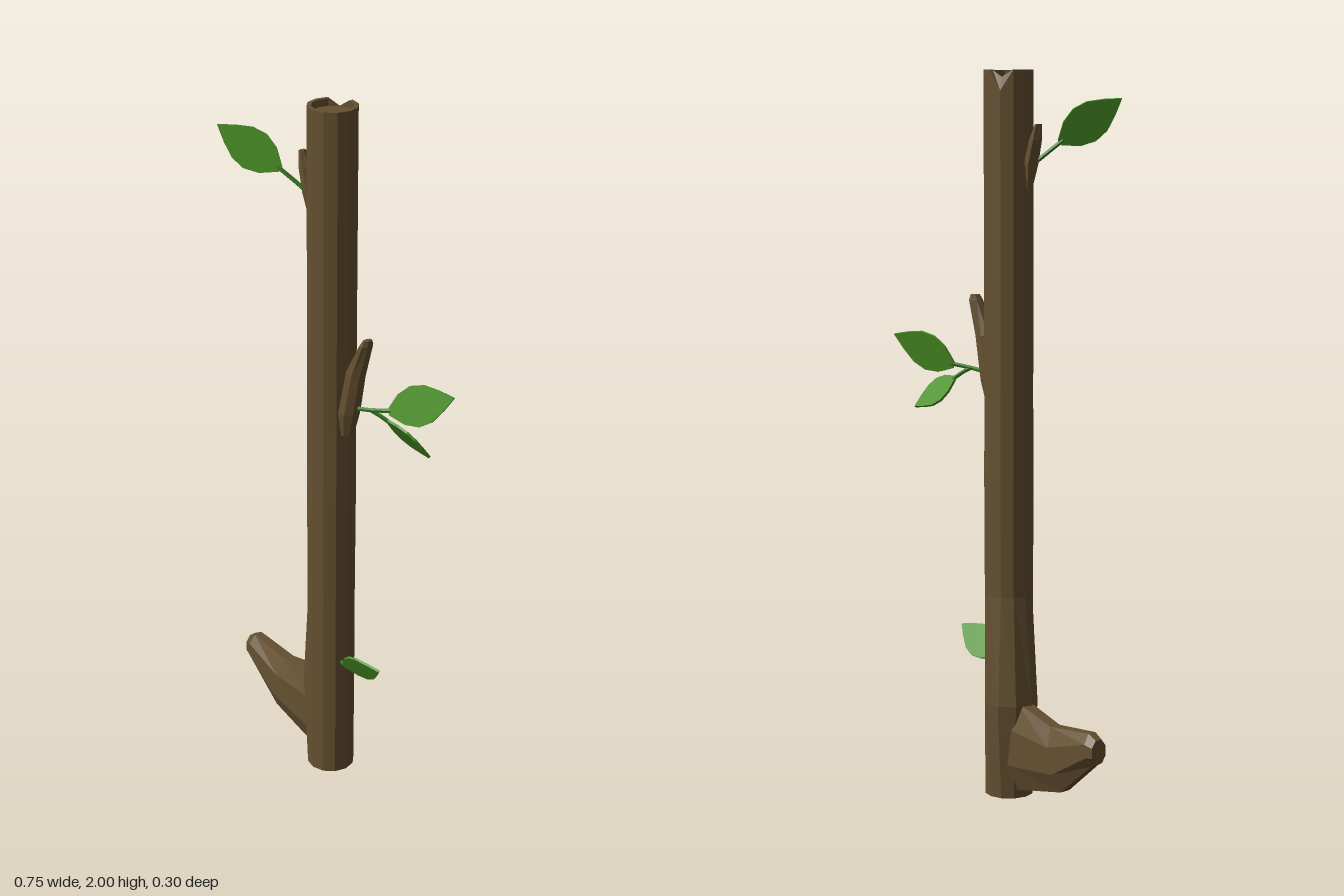
import * as THREE from 'three';

const V = (x, y, z) => new THREE.Vector3(x, y, z);

export function createModel() {
  const group = new THREE.Group();
  const mat = (name, color) => {
    const m = new THREE.MeshStandardMaterial({ color });
    m.name = name;
    return m;
  };
  const bark = mat('bark brown', 0x655031);
  const green = mat('leaf green', 0x4b9325);
  const stemGreen = mat('stem green', 0x3b7a22);

  // Adds a faceted mesh
  const add = (name, geometry, material) => {
    const g = geometry.index ? geometry.toNonIndexed() : geometry;
    g.computeVertexNormals();
    const mesh = new THREE.Mesh(g, material);
    mesh.name = name;
    group.add(mesh);
    return mesh;
  };

  // Capped loft through elliptical sections [centre, half axis a, half axis b]; a x b points along the loft
  const loft = (sections, sides = 8) => {
    const pos = [], idx = [];
    for (const [c, a, b] of sections) {
      for (let j = 0; j < sides; j++) {
        const t = ((j + 0.5) / sides) * Math.PI * 2, k = 1 / Math.cos(Math.PI / sides);
        const p = c.clone().addScaledVector(a, Math.cos(t) * k).addScaledVector(b, Math.sin(t) * k);
        pos.push(p.x, p.y, p.z);
      }
    }
    const last = (sections.length - 1) * sides;
    for (const s of [sections[0], sections[sections.length - 1]]) pos.push(...s[0].toArray());
    const c0 = last + sides, c1 = c0 + 1;
    for (let j = 0; j < sides; j++) {
      const n = (j + 1) % sides;
      for (let i = 0; i < last; i += sides) {
        idx.push(i + j, i + n, i + sides + n, i + j, i + sides + n, i + sides + j);
      }
      idx.push(c0, n, j, c1, last + j, last + n);
    }
    const g = new THREE.BufferGeometry();
    g.setAttribute('position', new THREE.Float32BufferAttribute(pos, 3));
    g.setIndex(idx);
    return g;
  };

  // Trunk: twelve-sided pole with recessed ends, a low bulge at the back and a notched rim
  const R = 0.068, inner = 0.056;
  const profile = [[0, 0.025], [inner, 0.025], [inner, 0], [R, 0], [R, 0.27], [R, 0.57], [R + 0.001, 0.9],
    [R, 1.1], [R, 2], [inner, 2], [inner, 1.98], [0, 1.98]].map(([x, y]) => new THREE.Vector2(x, y));
  const trunk = new THREE.LatheGeometry(profile, 12);
  const p = trunk.attributes.position;
  for (let i = 0; i < p.count; i++) {
    const x = p.getX(i), y = p.getY(i), z = p.getZ(i), r = Math.hypot(x, z) || 1;
    if (Math.abs(y - 0.27) < 0.01) {
      const push = 1 + (0.032 / R) * Math.max(0, (-0.85 * x - 0.5 * z) / r);
      p.setX(i, x * push);
      p.setZ(i, z * push);
    }
    const notch = Math.abs(x / r + 0.5) < 0.01 && z < 0;
    if (notch && y > 1.99) p.setY(i, r > 0.06 ? 1.945 : 1.981);
  }
  add('trunk', trunk, bark).position.set(0.0125, 0, -0.036);

  // Thick broken limb near the ground
  const limb = (x, lean, bottom, top, z, w) =>
    [V(x, (bottom + top) / 2, z), V(lean, (top - bottom) / 2, 0), V(0, 0, -w)];
  add('lowerLimb', loft([
    limb(0, 0, 0.005, 0.295, -0.043, 0.046),
    limb(-0.05, 0, 0.025, 0.276, -0.043, 0.046),
    limb(-0.22, 0.02, 0.065, 0.24, -0.055, 0.04),
    limb(-0.355, 0.005, 0.165, 0.254, -0.058, 0.031),
    limb(-0.377, 0.001, 0.175, 0.24, -0.058, 0.025),
  ]), bark);

  // Short broken twigs
  const ring = (x, y, z, rx, rz) => [V(x, y, z), V(0, 0, rz), V(rx, 0, 0)];
  add('rightTwig', loft([
    ring(0.076, 1.09, -0.036, 0.018, 0.02),
    ring(0.085, 1.16, -0.036, 0.028, 0.03),
    ring(0.109, 1.28, -0.037, 0.027, 0.027),
    ring(0.146, 1.375, -0.04, 0.014, 0.02),
    ring(0.15, 1.39, -0.04, 0.008, 0.014),
  ]), bark);
  add('leftTwig', loft([
    ring(-0.05, 1.68, -0.02, 0.008, 0.008),
    ring(-0.06, 1.75, -0.02, 0.016, 0.018),
    ring(-0.078, 1.815, -0.02, 0.014, 0.016),
    ring(-0.09, 1.857, -0.02, 0.006, 0.01),
  ], 6), bark);

  // Leaf blade from base to tip, facing the given normal
  const outline = [[0, -0.15], [0.2, -0.75], [0.4, -1], [0.6, -0.9], [0.8, -0.5], [1, 0],
    [0.8, 0.5], [0.6, 0.9], [0.4, 1], [0.2, 0.75], [0, 0.15]];
  const leaf = (name, base, tip, normal, halfWidth) => {
    const axis = tip.clone().sub(base), length = axis.length();
    axis.normalize();
    const across = normal.clone().cross(axis).normalize();
    const face = axis.clone().cross(across);
    const shape = new THREE.Shape(outline.map(([u, v]) => new THREE.Vector2(u * length, v * halfWidth)));
    const g = new THREE.ExtrudeGeometry(shape, { depth: 0.007, bevelEnabled: false });
    g.translate(0, 0, -0.0035);
    g.applyMatrix4(new THREE.Matrix4().makeBasis(axis, across, face).setPosition(base));
    add(name, g, green);
  };
  leaf('upperLeftLeaf', V(-0.118, 1.808, 0.03), V(-0.237, 1.925, 0.145), V(0.79, 0.225, 0.57), 0.054);
  leaf('largeRightLeaf', V(0.203, 1.19, -0.073), V(0.375, 1.27, -0.147), V(0.3, 0.25, 0.9), 0.056);
  leaf('smallRightLeaf', V(0.19, 1.157, -0.08), V(0.297, 1.07, -0.137), V(0.07, 0.55, -0.83), 0.046);
  leaf('lowerRightLeaf', V(0.1, 0.373, -0.012), V(0.257, 0.432, -0.002), V(-0.14, 0.49, -0.87), 0.047);

  // Leaf stems
  const stem = (name, ...points) =>
    add(name, new THREE.TubeGeometry(new THREE.CatmullRomCurve3(points), 4, 0.006, 5), stemGreen);
  stem('upperLeftStem', V(-0.05, 1.74, -0.02), V(-0.085, 1.775, 0.005), V(-0.125, 1.815, 0.036));
  stem('largeRightStem', V(0.09, 1.175, -0.036), V(0.15, 1.185, -0.048), V(0.21, 1.195, -0.077));
  stem('smallRightStem', V(0.155, 1.186, -0.05), V(0.175, 1.172, -0.066), V(0.195, 1.153, -0.083));
  stem('lowerRightStem', V(0.065, 0.37, -0.025), V(0.085, 0.371, -0.018), V(0.108, 0.376, -0.011));

  return group;
}
